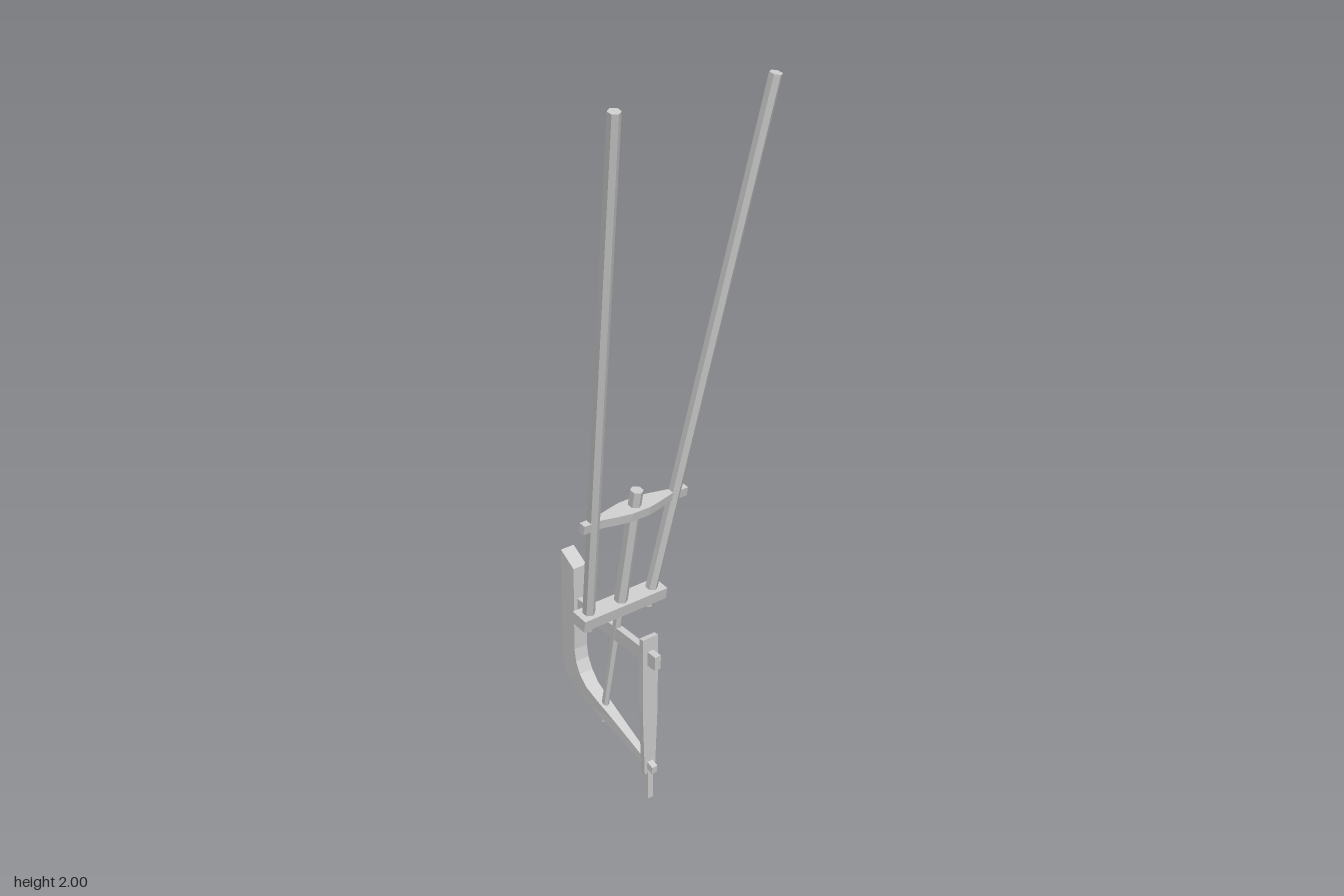
import * as THREE from 'three';

const mat = new THREE.MeshStandardMaterial({ color: 0xcccccc, flatShading: true });
const TILT = 0.19; // forward lean shared by the handles and crossbars

export function createModel() {
  const group = new THREE.Group();

  const add = (name, geometry) => {
    const mesh = new THREE.Mesh(geometry, mat);
    mesh.name = name;
    group.add(mesh);
    return mesh;
  };

  // Six-sided rod from a to b with a radius at each end
  const rod = (name, a, b, ra, rb) => {
    const from = new THREE.Vector3(...a), to = new THREE.Vector3(...b);
    const dir = to.clone().sub(from);
    const mesh = add(name, new THREE.CylinderGeometry(rb, ra, dir.length(), 6));
    mesh.position.copy(from).lerp(to, 0.5);
    mesh.quaternion.setFromUnitVectors(new THREE.Vector3(0, 1, 0), dir.normalize());
  };

  // Beam in the yz plane; each section is [inner z, inner y, outer z, outer y, half width]
  const beam = (name, sections) => {
    const n = sections.length - 1;
    const g = new THREE.BoxGeometry(2, 1, 1, 1, 1, n);
    const p = g.attributes.position;
    for (let i = 0; i < p.count; i++) {
      const s = sections[Math.round((p.getZ(i) + 0.5) * n)];
      const k = p.getY(i) > 0 ? 0 : 2;
      p.setXYZ(i, Math.sign(p.getX(i)) * s[4], s[k + 1], s[k]);
    }
    g.computeVertexNormals();
    return add(name, g);
  };

  // Flat plate mirrored about x = 0 from [half x, y] points, centred in thickness
  const plate = (points, thickness) => {
    const outline = [...points, ...points.slice().reverse().map(([x, y]) => [-x, y])];
    const shape = new THREE.Shape(outline.map(([x, y]) => new THREE.Vector2(x, y)));
    const g = new THREE.ExtrudeGeometry(shape, { depth: thickness, bevelEnabled: false });
    return g.translate(0, 0, -thickness / 2);
  };

  // Long splayed handles
  for (const [name, s] of [['leftHandle', 1], ['rightHandle', -1]]) {
    rod(name, [s * 0.103, 0.507, -0.045], [s * 0.246, 1.997, 0.24], 0.017, 0.017);
  }

  // Central shaft, thinner below the lower crossbar
  rod('shaft', [0, 0.53, -0.039], [0, 0.91, 0.031], 0.019, 0.018);
  rod('lowerShaft', [0, 0.15, -0.11], [0, 0.53, -0.039], 0.01, 0.013);

  // Lower crossbar
  const lowerBar = add('lowerCrossbar', new THREE.BoxGeometry(0.283, 0.034, 0.053));
  lowerBar.position.set(0, 0.545, -0.037);
  lowerBar.rotation.x = TILT;

  // Upper crossbar, swelling towards the middle
  const half = [[0.03, 0.028], [0.065, 0.022], [0.12, 0.01], [0.174, 0.01]];
  const profile = [...half.slice().reverse().map(([x, y]) => [x, -y]), ...half];
  profile.sort((a, b) => a[1] - b[1] || (a[1] < 0 ? a[0] - b[0] : b[0] - a[0]));
  const upperBar = add('upperCrossbar', plate(profile, 0.026).rotateX(-Math.PI / 2));
  upperBar.position.set(0, 0.852, 0.021);
  upperBar.rotation.x = TILT;

  // Curved frame: upright back post bending into the sloping sole
  beam('curvedFrame', [
    [-0.204, 0.59, -0.257, 0.628, 0.022],
    [-0.204, 0.34, -0.257, 0.32, 0.022],
    [-0.198, 0.305, -0.249, 0.275, 0.022],
    [-0.182, 0.272, -0.228, 0.238, 0.022],
    [-0.155, 0.242, -0.195, 0.21, 0.021],
    [-0.115, 0.22, -0.145, 0.188, 0.019],
    [-0.05, 0.187, -0.05, 0.152, 0.015],
    [0.07, 0.125, 0.07, 0.102, 0.01],
    [0.108, 0.108, 0.106, 0.088, 0.009],
  ]);

  // Brace from the back post through the blade
  beam('brace', [
    [-0.21, 0.496, -0.21, 0.456, 0.01],
    [0.118, 0.456, 0.116, 0.415, 0.01],
  ]);

  // Upright front blade and its foot
  const blade = add('blade', plate([[0.018, 0.08], [0.026, 0.28], [0.026, 0.5]], 0.015));
  blade.position.z = 0.08;
  const foot = add('bladeFoot', new THREE.BoxGeometry(0.018, 0.09, 0.02));
  foot.position.set(0, 0.045, 0.08);

  return group;
}
